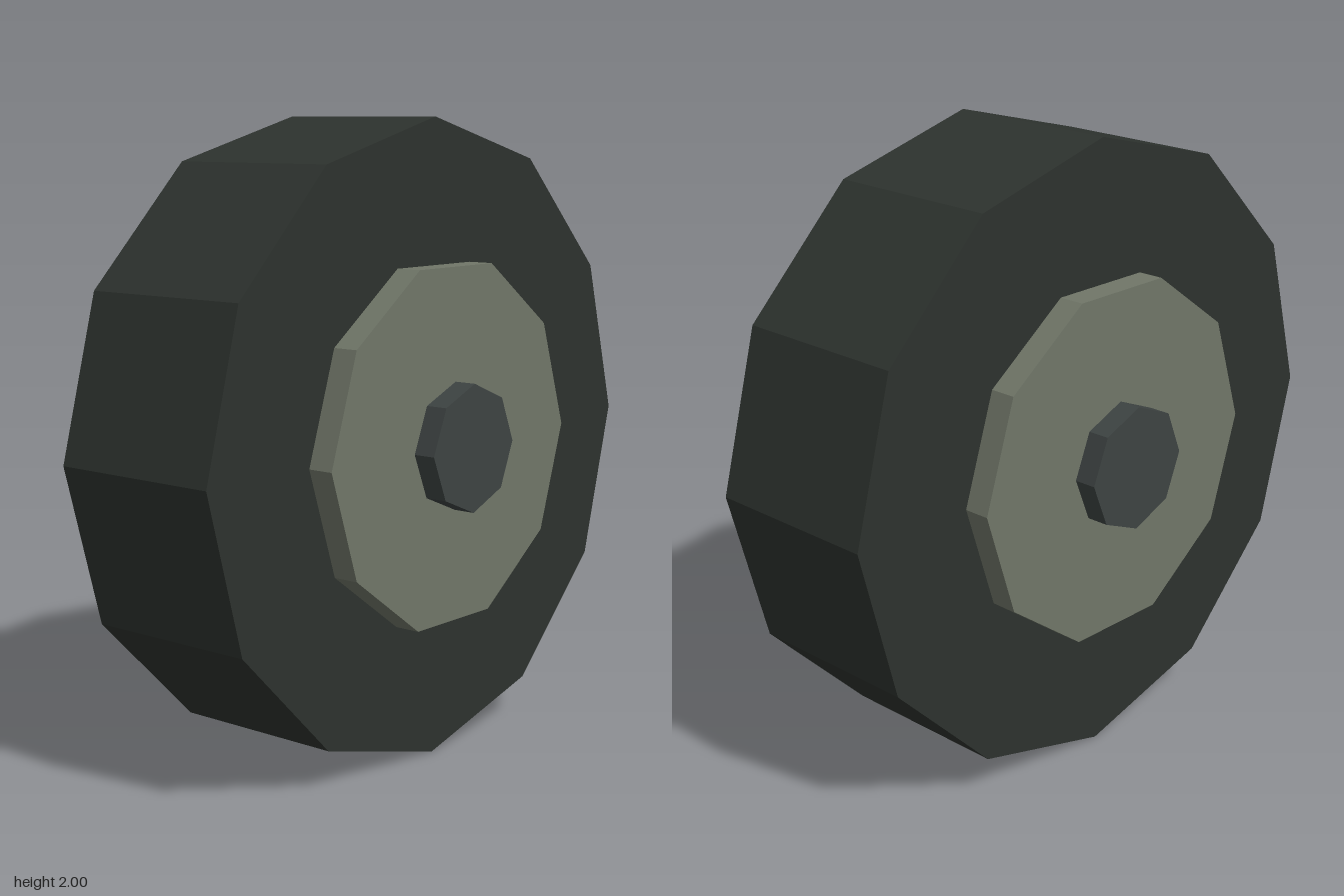
import * as THREE from 'three';

// Faceted disc lying along the x axis, with a corner pointing to +z
function disc(name, radius, width, sides, color) {
  const geometry = new THREE.CylinderGeometry(radius, radius, width, sides);
  geometry.rotateZ(Math.PI / 2);
  const material = new THREE.MeshStandardMaterial({ color, flatShading: true });
  const mesh = new THREE.Mesh(geometry, material);
  mesh.name = name;
  mesh.position.y = 1;
  return mesh;
}

export function createModel() {
  const wheel = new THREE.Group();
  wheel.name = 'wheel';
  wheel.add(
    disc('tyre', 1, 0.58, 12, 0x2d322e),
    disc('rim', 0.58, 0.75, 10, 0x707668), // stands proud of the tyre on both sides
    disc('axle', 0.2, 0.896, 8, 0x3d4342), // runs right through the rim
  );
  return wheel;
}
